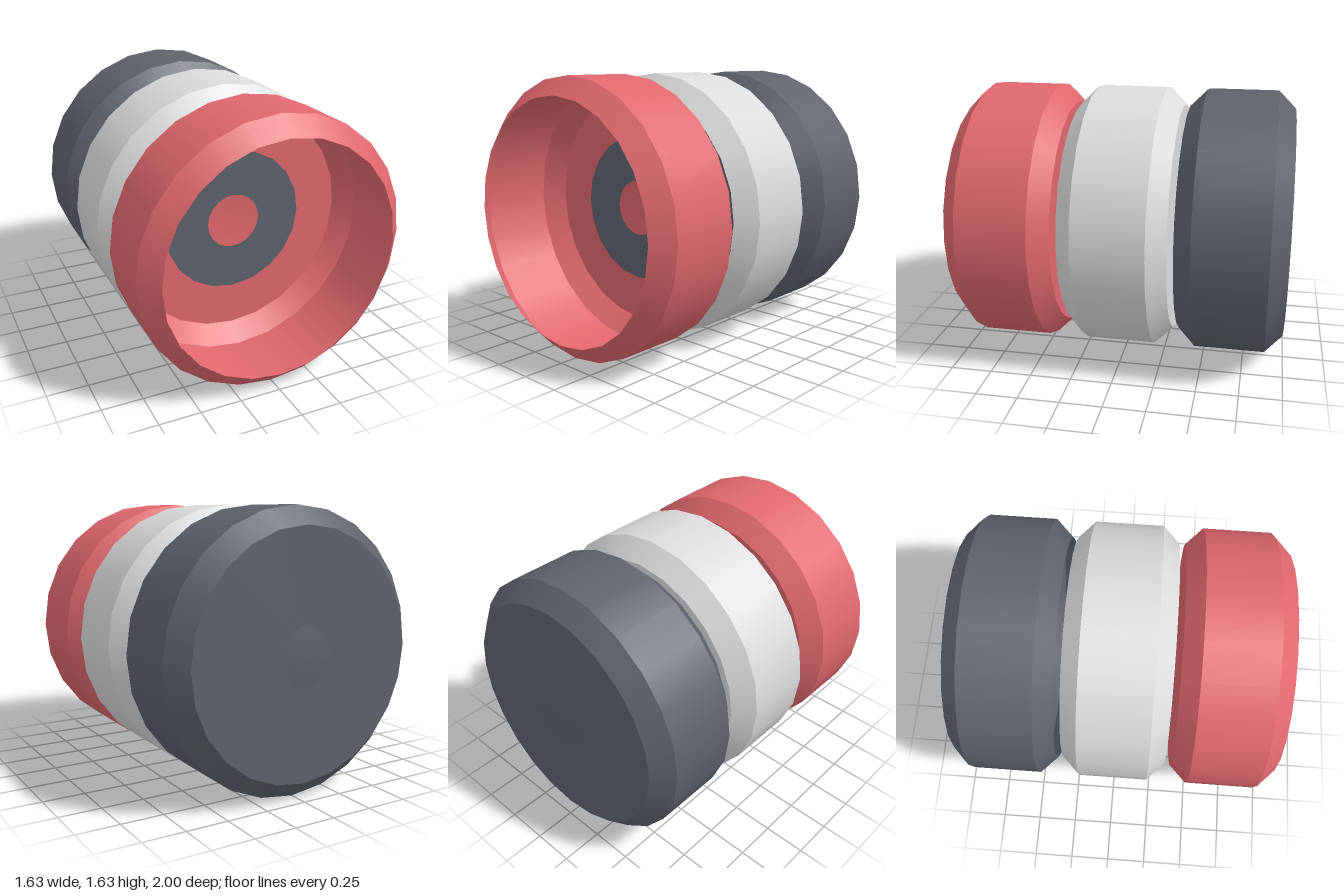
import * as THREE from 'three';
import { mergeGeometries } from 'three/addons/utils/BufferGeometryUtils.js';

const material = (name, color) =>
  new THREE.MeshStandardMaterial({ name, color, side: THREE.DoubleSide });

const R = 0.817;      // outer radius
const RIM = 0.712;    // radius of the mouth and the floor
const CHAMFER = 0.105;
const LENGTH = 0.637;
const SPACING = 0.675;
const HUB = 0.17;

// Revolves each profile section separately, so the edges between them stay sharp
function revolve(sections) {
  const parts = sections.map((points) => new THREE.LatheGeometry(
    points.map(([r, z]) => new THREE.Vector2(r, z)), 24));
  const geometry = mergeGeometries(parts);
  geometry.rotateX(Math.PI / 2);
  return geometry;
}

export function createModel() {
  const model = new THREE.Group();
  model.name = 'stackedCups';

  const red = material('coral red', 0xe0686e);
  const light = material('light grey', 0xdcdcde);
  const dark = material('slate grey', 0x5e636c);

  // Thin cup, open at the front, with a shallow dent in the floor
  const cupGeometry = revolve([
    [[0, -0.01], [0.06, -0.009], [0.12, -0.005], [HUB, 0]],
    [[HUB, 0], [RIM, 0]],
    [[RIM, 0], [R, CHAMFER]],
    [[R, CHAMFER], [R, LENGTH - CHAMFER]],
    [[R, LENGTH - CHAMFER], [RIM, LENGTH]],
  ]);
  // Flat ring around the dent
  const ringGeometry = new THREE.RingGeometry(HUB, 0.445, 20);

  [['frontCup', red], ['middleCup', light], ['backCup', dark]].forEach(([name, colour], i) => {
    const cup = new THREE.Group();
    cup.name = name;
    const shell = new THREE.Mesh(cupGeometry, colour);
    shell.name = name + 'Shell';
    const ring = new THREE.Mesh(ringGeometry, dark);
    ring.name = name + 'FloorRing';
    ring.position.z = 0.005;
    cup.add(shell, ring);
    cup.position.set(0, R, 1 - LENGTH - i * SPACING);
    model.add(cup);
  });

  return model;
}
